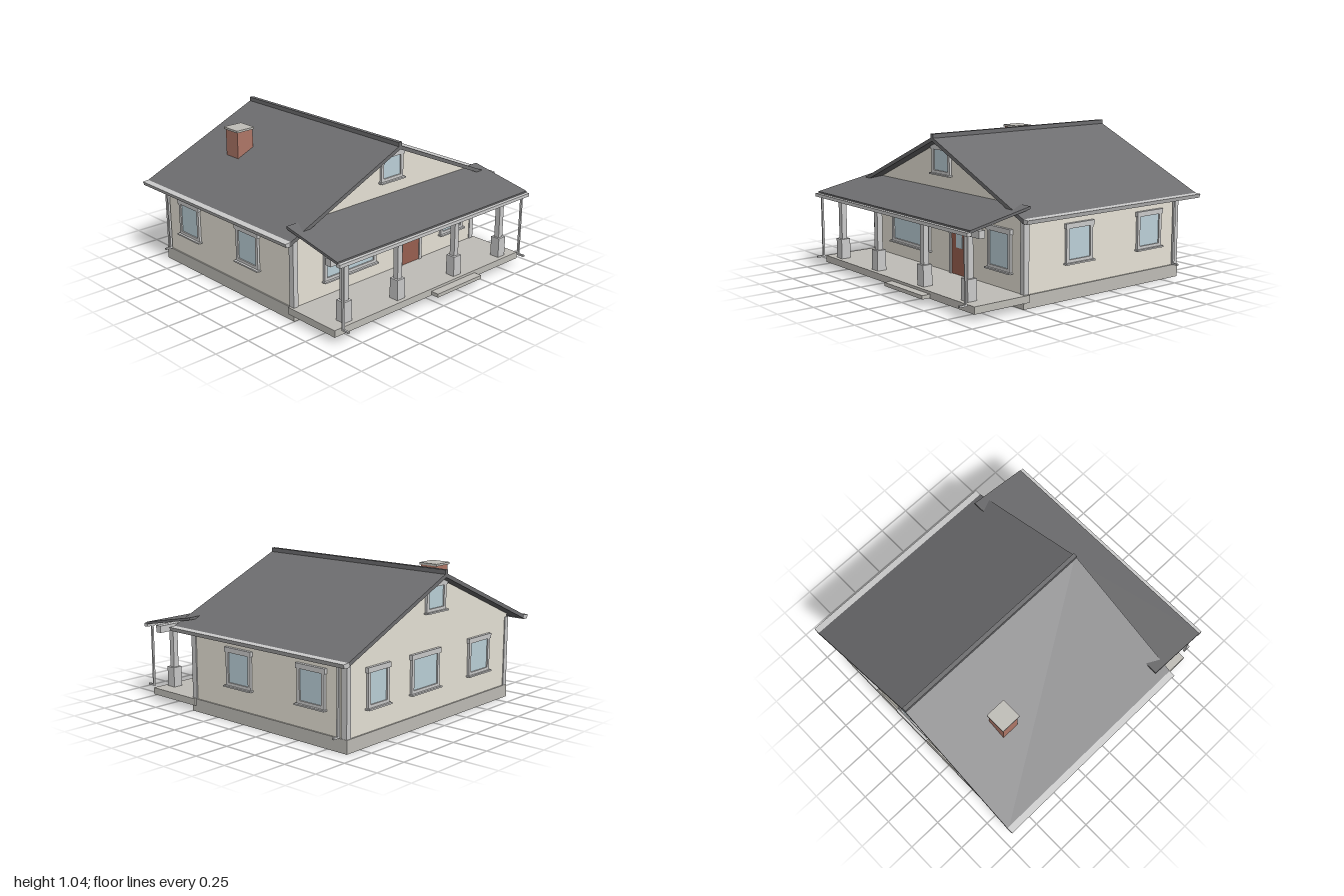
import * as THREE from 'three';

const mat = (color) => new THREE.MeshStandardMaterial({ color, flatShading: true });
const M = {
  trim: mat(0xcccccc), wall: mat(0xe8e4d8), roof: mat(0x6e6e70), glass: mat(0xbdd2da),
  door: mat(0x9a6050), brick: mat(0xb07868), stone: mat(0xc0beb8),
};

// Box given by its lower and upper limits on each axis
function box(parent, name, m, x0, x1, y0, y1, z0, z1) {
  const mesh = new THREE.Mesh(new THREE.BoxGeometry(x1 - x0, y1 - y0, z1 - z0), m);
  mesh.position.set((x0 + x1) / 2, (y0 + y1) / 2, (z0 + z1) / 2);
  mesh.name = name;
  parent.add(mesh);
  return mesh;
}

// Outline in x and y, extruded from z0 to z1
function prism(parent, name, m, points, z0, z1) {
  const shape = new THREE.Shape(points.map(([x, y]) => new THREE.Vector2(x, y)));
  const geo = new THREE.ExtrudeGeometry(shape, { depth: z1 - z0, bevelEnabled: false });
  geo.translate(0, 0, z0);
  const mesh = new THREE.Mesh(geo, m);
  mesh.name = name;
  parent.add(mesh);
  return mesh;
}

// Window facing +z: w, y0 and y1 measure the glass
function windowUnit(parent, name, w, y0, y1, x, z, turn) {
  const g = new THREE.Group();
  g.name = name;
  const h = w / 2, t = 0.023;
  box(g, 'glass', M.glass, -h, h, y0, y1, -0.01, 0.008);
  for (const s of [-1, 1]) {
    const a = s * h, b = s * (h + t);
    box(g, 'sideCasing', M.trim, Math.min(a, b), Math.max(a, b), y0 - 0.02, y1 + 0.005, -0.01, 0.017);
  }
  box(g, 'bottomRail', M.trim, -h, h, y0 - 0.02, y0, -0.01, 0.017);
  box(g, 'headCasing', M.trim, -h - t - 0.008, h + t + 0.008, y1, y1 + 0.034, -0.01, 0.022);
  box(g, 'sill', M.trim, -h - t - 0.01, h + t + 0.01, y0 - 0.03, y0 - 0.02, -0.01, 0.034);
  g.position.set(x, 0, z);
  g.rotation.y = turn;
  parent.add(g);
}

export function createModel() {
  const house = new THREE.Group();
  house.name = 'house';
  const FRONT = 0.49, BACK = -0.9, SIDE = 0.865;

  // Foundation and gabled walls
  box(house, 'foundation', M.stone, -0.875, 0.875, 0, 0.09, -0.91, 0.5);
  prism(house, 'walls', M.wall,
    [[-SIDE, 0.09], [SIDE, 0.09], [SIDE, 0.615], [0, 0.99], [-SIDE, 0.615]], BACK, FRONT);

  // Corner boards
  for (const sx of [-1, 1]) for (const [z0, z1] of [[BACK - 0.007, BACK + 0.035], [FRONT - 0.035, FRONT + 0.007]]) {
    const xs = [sx * 0.835, sx * 0.873].sort((a, b) => a - b);
    box(house, 'cornerBoard', M.trim, xs[0], xs[1], 0.09, 0.59, z0, z1);
  }

  // Main roof, ridge cap and gutters
  prism(house, 'mainRoof', M.roof,
    [[-0.965, 0.567], [0, 0.987], [0.965, 0.567], [0.965, 0.595], [0, 1.015], [-0.965, 0.595]], -0.99, 0.575);
  box(house, 'ridgeCap', M.roof, -0.015, 0.015, 1.0, 1.037, -0.99, 0.575);
  for (const s of [-1, 1]) {
    const gutter = prism(house, 'sideGutter', M.trim,
      [[0.945, 0.57], [0.99, 0.57], [1, 0.597], [0.95, 0.6]].map(([x, y]) => [s * x, y]), -0.99, 0.575);
    gutter.material = M.trim;
  }

  // Chimney
  box(house, 'chimney', M.brick, -0.53, -0.395, 0.7, 0.975, -0.615, -0.485);
  box(house, 'chimneyCap', M.stone, -0.54, -0.388, 0.975, 0.99, -0.625, -0.475);

  // Porch deck and step
  box(house, 'porchDeck', M.stone, -0.89, 0.89, 0.045, 0.093, 0.46, 0.9);
  box(house, 'porchStep', M.stone, -0.015, 0.425, 0.05, 0.075, 0.89, 0.96);

  // Porch columns and beam
  for (const x of [-0.75, -0.275, 0.275, 0.75]) {
    box(house, 'columnBase', M.trim, x - 0.035, x + 0.035, 0.093, 0.235, 0.8, 0.87);
    box(house, 'columnShaft', M.trim, x - 0.02, x + 0.02, 0.235, 0.51, 0.815, 0.855);
  }
  box(house, 'porchBeam', M.trim, -0.885, 0.885, 0.503, 0.552, 0.812, 0.858);

  // Sloping porch roof, drawn in z and y and turned to run along x
  const porchRoof = prism(house, 'porchRoof', M.roof,
    [[-0.94, 0.55], [-0.475, 0.644], [-0.475, 0.662], [-0.94, 0.568]], -0.905, 0.905);
  porchRoof.rotation.y = Math.PI / 2;
  box(house, 'porchGutter', M.trim, -0.905, 0.905, 0.534, 0.557, 0.93, 0.965);

  // Downspouts with kicked-out feet
  for (const s of [-1, 1]) {
    const x = s * 0.855;
    box(house, 'porchDownspout', M.trim, x - 0.007, x + 0.007, 0.097, 0.54, 0.932, 0.946);
    box(house, 'porchDownspoutFoot', M.trim, x - 0.007, x + 0.007, 0.095, 0.107, 0.932, 0.99);
    const r = s * 0.887;
    box(house, 'rearDownspout', M.trim, r - 0.008, r + 0.008, 0.097, 0.58, -0.858, -0.842);
    const f = [s * 0.879, s * 0.935].sort((a, b) => a - b);
    box(house, 'rearDownspoutFoot', M.trim, f[0], f[1], 0.095, 0.107, -0.858, -0.842);
  }

  // Front door with casing and small pane
  box(house, 'doorPanel', M.door, 0.115, 0.285, 0.093, 0.445, FRONT - 0.01, FRONT + 0.01);
  box(house, 'doorPane', M.glass, 0.168, 0.234, 0.28, 0.4, FRONT, FRONT + 0.014);
  box(house, 'doorCasingRight', M.trim, 0.092, 0.115, 0.093, 0.445, FRONT - 0.01, FRONT + 0.018);
  box(house, 'doorCasingLeft', M.trim, 0.285, 0.308, 0.093, 0.445, FRONT - 0.01, FRONT + 0.018);
  box(house, 'doorHead', M.trim, 0.092, 0.308, 0.445, 0.46, FRONT - 0.01, FRONT + 0.018);

  // Front windows
  windowUnit(house, 'largeFrontWindow', 0.425, 0.222, 0.468, -0.378, FRONT, 0);
  windowUnit(house, 'smallFrontWindow', 0.19, 0.235, 0.46, 0.628, FRONT, 0);
  windowUnit(house, 'frontGableWindow', 0.16, 0.78, 0.922, 0, FRONT, 0);

  // Back windows
  for (const [x, w] of [[0.58, 0.16], [0.1, 0.25], [-0.51, 0.2]]) {
    windowUnit(house, 'backWindow', w, 0.268, 0.474, x, BACK, Math.PI);
  }
  windowUnit(house, 'backGableWindow', 0.16, 0.78, 0.922, 0, BACK, Math.PI);

  // Side windows
  for (const s of [-1, 1]) for (const z of [0.033, -0.615]) {
    windowUnit(house, 'sideWindow', 0.185, 0.268, 0.474, s * SIDE, z, s * Math.PI / 2);
  }
  return house;
}
